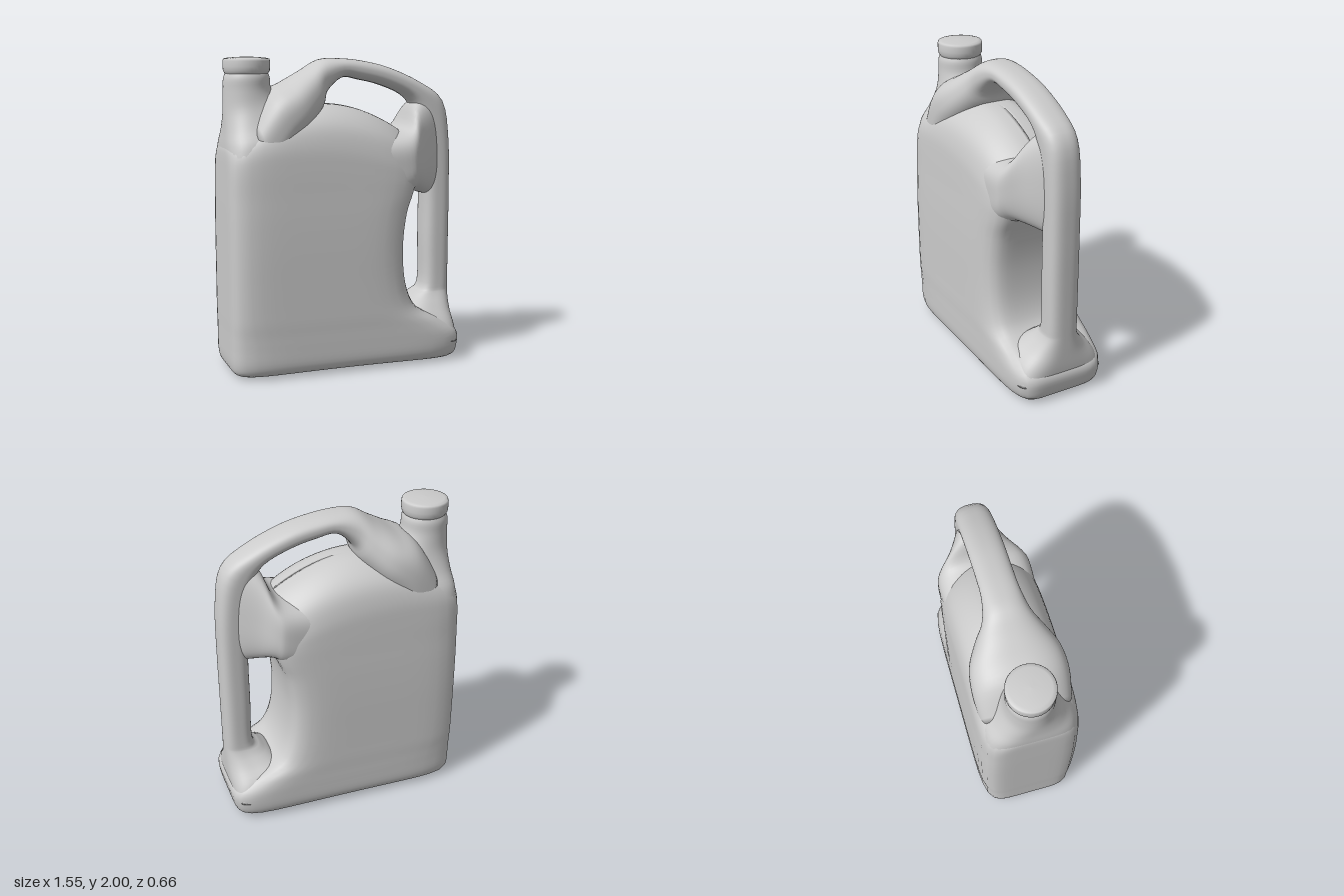
import * as THREE from 'three';

const SEGMENTS = 72;
const material = new THREE.MeshStandardMaterial({ color: 0xcccccc });

// Smooth in-between stations (Catmull-Rom on every number of the station)
function refine(stations, steps) {
  const at = (i) => stations[Math.max(0, Math.min(stations.length - 1, i))];
  const out = [];
  for (let i = 0; i < stations.length - 1; i++) {
    for (let k = 0; k < steps; k++) {
      const t = k / steps;
      out.push(at(i).map((p1, c) => {
        const p0 = at(i - 1)[c], p2 = at(i + 1)[c], p3 = at(i + 2)[c];
        return p1 + 0.5 * t * (p2 - p0 + t * (2 * p0 - 5 * p1 + 4 * p2 - p3 + t * (3 * (p1 - p2) + p3 - p0)));
      }));
    }
  }
  out.push(at(stations.length - 1));
  return out;
}

// Loft of superellipse sections. A section spans P to Q in the xy plane and
// +-depth in z: [px, py, qx, qy, depth, squareness, arch]
function loft(name, stations, steps = 4) {
  const rings = refine(stations, steps);
  const pos = [], index = [];
  for (const [px, py, qx, qy, depth, n, arch = 0] of rings) {
    for (let j = 0; j < SEGMENTS; j++) {
      const a = (j / SEGMENTS) * Math.PI * 2;
      const c = Math.cos(a), s = Math.sin(a);
      const r = (Math.abs(c) ** n + Math.abs(s) ** n) ** (-1 / n);
      const u = r * c;
      pos.push(
        (px + qx) / 2 + (u * (qx - px)) / 2,
        (py + qy) / 2 + (u * (qy - py)) / 2 + arch * (1 - u * u),
        depth * r * s
      );
    }
  }
  for (let i = 0; i < rings.length - 1; i++) {
    for (let j = 0; j < SEGMENTS; j++) {
      const a = i * SEGMENTS + j, b = i * SEGMENTS + ((j + 1) % SEGMENTS);
      const c = a + SEGMENTS, d = b + SEGMENTS;
      index.push(a, c, b, b, c, d);
    }
  }
  // End caps
  for (const last of [false, true]) {
    const [px, py, qx, qy, , , arch = 0] = rings[last ? rings.length - 1 : 0];
    const base = last ? (rings.length - 1) * SEGMENTS : 0;
    const centre = pos.length / 3;
    pos.push((px + qx) / 2, (py + qy) / 2 + arch, 0);
    for (let j = 0; j < SEGMENTS; j++) {
      const a = base + j, b = base + ((j + 1) % SEGMENTS);
      index.push(centre, last ? b : a, last ? a : b);
    }
  }
  const geometry = new THREE.BufferGeometry();
  geometry.setAttribute('position', new THREE.Float32BufferAttribute(pos, 3));
  geometry.setIndex(index);
  geometry.computeVertexNormals();
  const mesh = new THREE.Mesh(geometry, material);
  mesh.name = name;
  return mesh;
}

export function createModel() {
  const model = new THREE.Group();
  model.name = 'jug';

  // Container, hollowed on the grip side, with an arched ridge on top
  model.add(loft('body', [
    [-0.68, 0.005, 0.68, 0.005, 0.24, 6, 0.015],
    [-0.75, 0.03, 0.745, 0.03, 0.295, 7, 0.008],
    [-0.77, 0.09, 0.77, 0.09, 0.32, 7, 0],
    [-0.772, 0.2, 0.765, 0.19, 0.325, 7, 0],
    [-0.772, 0.28, 0.64, 0.28, 0.326, 7, 0],
    [-0.773, 0.36, 0.49, 0.36, 0.328, 7, 0],
    [-0.773, 0.45, 0.42, 0.45, 0.328, 7, 0],
    [-0.773, 0.6, 0.38, 0.6, 0.328, 7, 0],
    [-0.773, 0.8, 0.37, 0.8, 0.328, 7, 0],
    [-0.773, 1.0, 0.395, 1.0, 0.325, 7, 0],
    [-0.772, 1.15, 0.44, 1.13, 0.32, 7, 0.01],
    [-0.77, 1.3, 0.46, 1.21, 0.315, 7, 0.05],
    [-0.768, 1.39, 0.465, 1.28, 0.305, 6, 0.11],
    [-0.763, 1.44, 0.465, 1.37, 0.27, 5, 0.16],
    [-0.75, 1.47, 0.46, 1.44, 0.2, 4, 0.19],
    [-0.73, 1.49, 0.45, 1.485, 0.1, 4, 0.21],
    [-0.7, 1.495, 0.45, 1.495, 0.001, 4, 0.21],
  ]));

  // Shoulder that narrows into the round neck
  model.add(loft('neck', [
    [-0.765, 1.36, -0.22, 1.36, 0.3, 5],
    [-0.762, 1.46, -0.28, 1.5, 0.275, 4],
    [-0.755, 1.55, -0.36, 1.6, 0.215, 3],
    [-0.752, 1.66, -0.41, 1.72, 0.165, 2.2],
    [-0.75, 1.78, -0.45, 1.8, 0.147, 2],
    [-0.748, 1.86, -0.458, 1.87, 0.144, 2],
    [-0.735, 1.9, -0.468, 1.9, 0.133, 2],
  ]));

  // Cap with a rounded rim and a slightly domed top
  const capProfile = [
    [0.125, 1.88], [0.136, 1.9], [0.145, 1.915], [0.147, 1.94],
    [0.147, 1.975], [0.142, 1.988], [0.12, 1.993], [0.06, 1.998], [0, 2],
  ].map(([x, y]) => new THREE.Vector2(x, y));
  const cap = new THREE.Mesh(new THREE.LatheGeometry(capProfile, 40), material);
  cap.position.x = -0.602;
  cap.name = 'cap';
  model.add(cap);

  // One continuous bar: wide root by the neck, over the top, down the grip, flared foot
  model.add(loft('handle', [
    [-0.62, 1.58, -0.5, 1.2, 0.28, 3],
    [-0.5, 1.77, -0.36, 1.4, 0.295, 2.6],
    [-0.37, 1.84, -0.23, 1.55, 0.275, 2.5],
    [-0.25, 1.91, -0.13, 1.68, 0.205, 2.4],
    [-0.13, 1.98, -0.1, 1.77, 0.145, 2.4],
    [0, 1.987, 0.01, 1.865, 0.115, 2.5],
    [0.15, 1.972, 0.14, 1.85, 0.11, 2.5],
    [0.33, 1.93, 0.3, 1.81, 0.11, 2.5],
    [0.55, 1.835, 0.46, 1.735, 0.11, 2.5],
    [0.715, 1.71, 0.53, 1.62, 0.11, 2.7],
    [0.762, 1.45, 0.57, 1.42, 0.107, 3],
    [0.77, 1.1, 0.587, 1.1, 0.105, 3],
    [0.77, 0.8, 0.587, 0.8, 0.105, 3],
    [0.77, 0.5, 0.587, 0.49, 0.105, 3],
    [0.77, 0.42, 0.53, 0.42, 0.118, 3],
    [0.77, 0.32, 0.47, 0.37, 0.18, 3],
    [0.768, 0.22, 0.42, 0.3, 0.265, 4],
    [0.76, 0.13, 0.42, 0.14, 0.3, 6],
  ]));

  // Tapering bridge between the two finger openings
  model.add(loft('handleBridge', [
    [0.2, 1.5, 0.25, 1.05, 0.295, 4],
    [0.37, 1.52, 0.41, 1.11, 0.3, 3.5],
    [0.44, 1.57, 0.47, 1.13, 0.275, 3],
    [0.5, 1.7, 0.57, 1.1, 0.19, 2.7],
    [0.62, 1.74, 0.66, 1.09, 0.115, 2.6],
    [0.68, 1.66, 0.7, 1.15, 0.08, 2.6],
  ]));

  return model;
}
